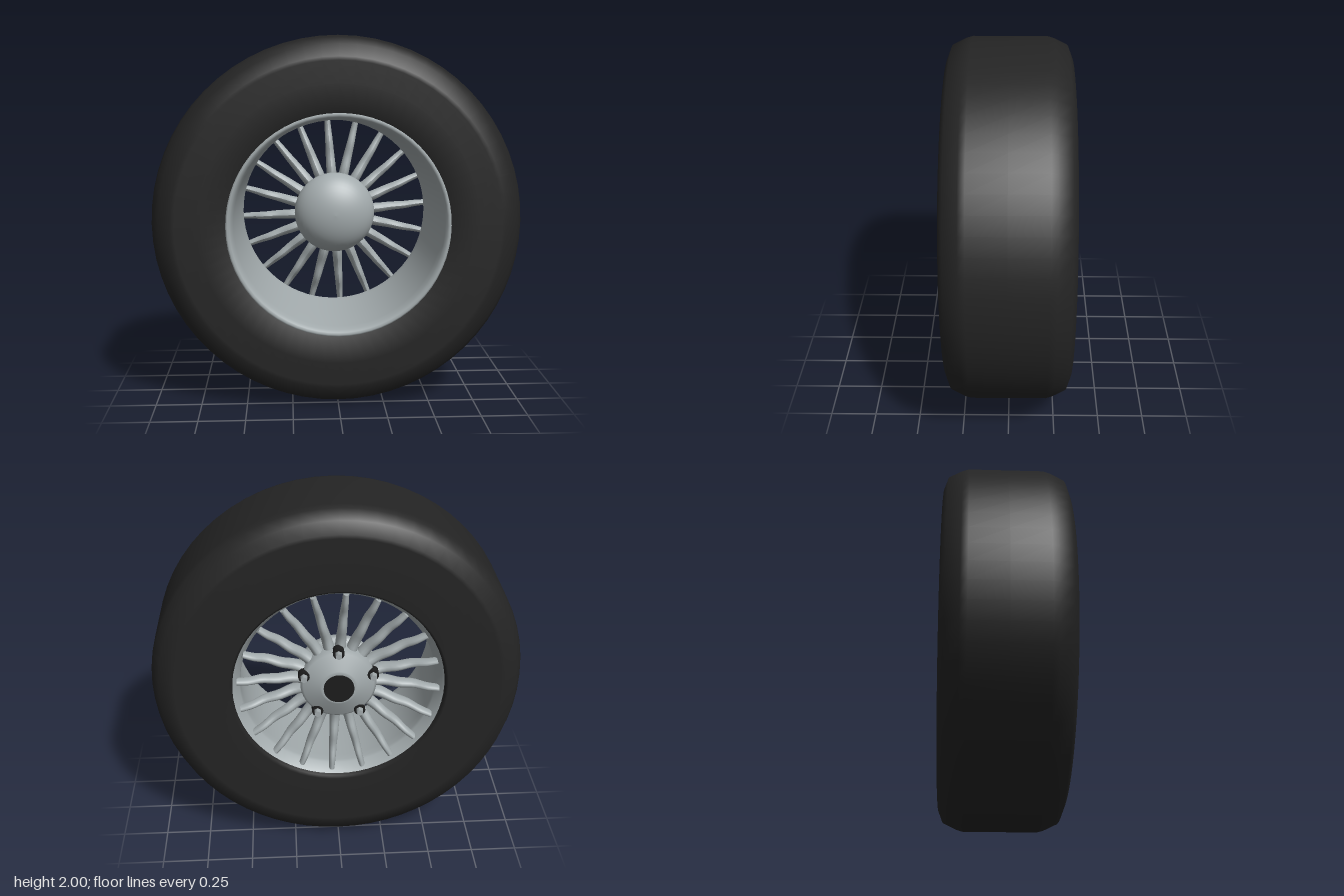
import * as THREE from 'three';

const material = (name, color, side = THREE.FrontSide) => {
  const m = new THREE.MeshStandardMaterial({ color, side });
  m.name = name;
  return m;
};

// Lathe around the axle: profile points are [radius, z], listed back to front
function turned(name, profile, mat, segments = 64) {
  const points = profile.map(([r, z]) => new THREE.Vector2(r, z));
  const geometry = new THREE.LatheGeometry(points, segments);
  geometry.rotateX(Math.PI / 2);
  const mesh = new THREE.Mesh(geometry, mat);
  mesh.name = name;
  return mesh;
}

// Tapered blade that sweeps from the hub back to the rim in a soft wave
function spokeGeometry() {
  const path = new THREE.CatmullRomCurve3([
    [0.17, -0.21], [0.25, -0.205], [0.33, -0.23], [0.41, -0.235], [0.48, -0.265], [0.545, -0.275],
  ].map(([r, z]) => new THREE.Vector3(0, r, z)));
  const geometry = new THREE.CylinderGeometry(1, 1, 1, 12, 16);
  const pos = geometry.attributes.position;
  const p = new THREE.Vector3();
  for (let i = 0; i < pos.count; i++) {
    const t = pos.getY(i) + 0.5;
    path.getPoint(t, p);
    const halfWidth = 0.031 - 0.015 * t;
    const halfDepth = 0.046 - 0.016 * t;
    pos.setXYZ(i, pos.getX(i) * halfWidth, p.y, p.z + pos.getZ(i) * halfDepth);
  }
  geometry.computeVertexNormals();
  return geometry;
}

export function createModel() {
  const rubber = material('black rubber', 0x242424);
  const metal = material('silver metal', 0xa3abad, THREE.DoubleSide);
  const dark = material('dark cap', 0x1c1c1c);

  const model = new THREE.Group();
  model.name = 'wheel';
  const wheel = new THREE.Group();
  wheel.name = 'wheelAssembly';
  wheel.position.y = 1;
  model.add(wheel);

  // Tyre with flat sidewalls and bevelled shoulders
  wheel.add(turned('tyre', [
    [0.56, -0.28], [0.572, -0.325], [0.585, -0.335], [0.75, -0.335], [0.87, -0.335], [0.89, -0.333],
    [0.955, -0.308], [0.99, -0.235], [1, -0.2], [1, 0], [1, 0.2],
    [0.99, 0.235], [0.955, 0.308], [0.89, 0.333], [0.87, 0.335], [0.75, 0.335], [0.59, 0.335], [0.58, 0.28],
  ], rubber));

  // Deep barrel with a rolled front lip and a flared back edge
  wheel.add(turned('rimBarrel', [
    [0.6, 0.325], [0.599, 0.337], [0.59, 0.342], [0.578, 0.337], [0.568, 0.315], [0.56, 0.27],
    [0.545, 0.05], [0.53, -0.18], [0.527, -0.23], [0.532, -0.25], [0.555, -0.295], [0.575, -0.315],
  ], metal));

  // Twenty spokes
  const spokes = new THREE.Group();
  spokes.name = 'spokes';
  const blade = spokeGeometry();
  for (let i = 0; i < 20; i++) {
    const spoke = new THREE.Mesh(blade, metal);
    spoke.name = 'spoke';
    spoke.rotation.z = THREE.MathUtils.degToRad(4 + i * 18);
    spokes.add(spoke);
  }
  wheel.add(spokes);

  // Hub: domed front, and a shallow cone on the back
  const dome = [];
  for (let i = 0; i <= 12; i++) {
    const a = (i / 12) * Math.PI / 2;
    dome.push([0.23 * Math.cos(a), -0.16 + 0.15 * Math.sin(a)]);
  }
  dome[12][0] = 0;
  wheel.add(turned('hubDome', [[0.2, -0.185], [0.225, -0.175], ...dome], metal, 48));
  wheel.add(turned('hubBack', [
    [0, -0.315], [0.09, -0.315], [0.1, -0.31], [0.19, -0.275], [0.205, -0.26], [0.205, -0.17],
  ], metal, 48));

  // Dark centre cap
  const cap = new THREE.Mesh(new THREE.CylinderGeometry(0.082, 0.082, 0.02, 32), dark);
  cap.name = 'centreCap';
  cap.rotation.x = Math.PI / 2;
  cap.position.z = -0.313;
  wheel.add(cap);

  // Five wheel bolts, each with a dark seat
  const seat = new THREE.CylinderGeometry(0.031, 0.031, 0.05, 16).rotateX(Math.PI / 2);
  const head = new THREE.CylinderGeometry(0.022, 0.018, 0.05, 6).rotateX(Math.PI / 2);
  for (let i = 0; i < 5; i++) {
    const a = THREE.MathUtils.degToRad(18 + i * 72);
    const bolt = new THREE.Group();
    bolt.name = 'wheelBolt';
    const base = new THREE.Mesh(seat, dark);
    base.name = 'boltSeat';
    const top = new THREE.Mesh(head, metal);
    top.name = 'boltHead';
    top.position.z = -0.03;
    bolt.add(base, top);
    bolt.position.set(0.195 * Math.cos(a), 0.195 * Math.sin(a), -0.265);
    wheel.add(bolt);
  }

  return model;
}
